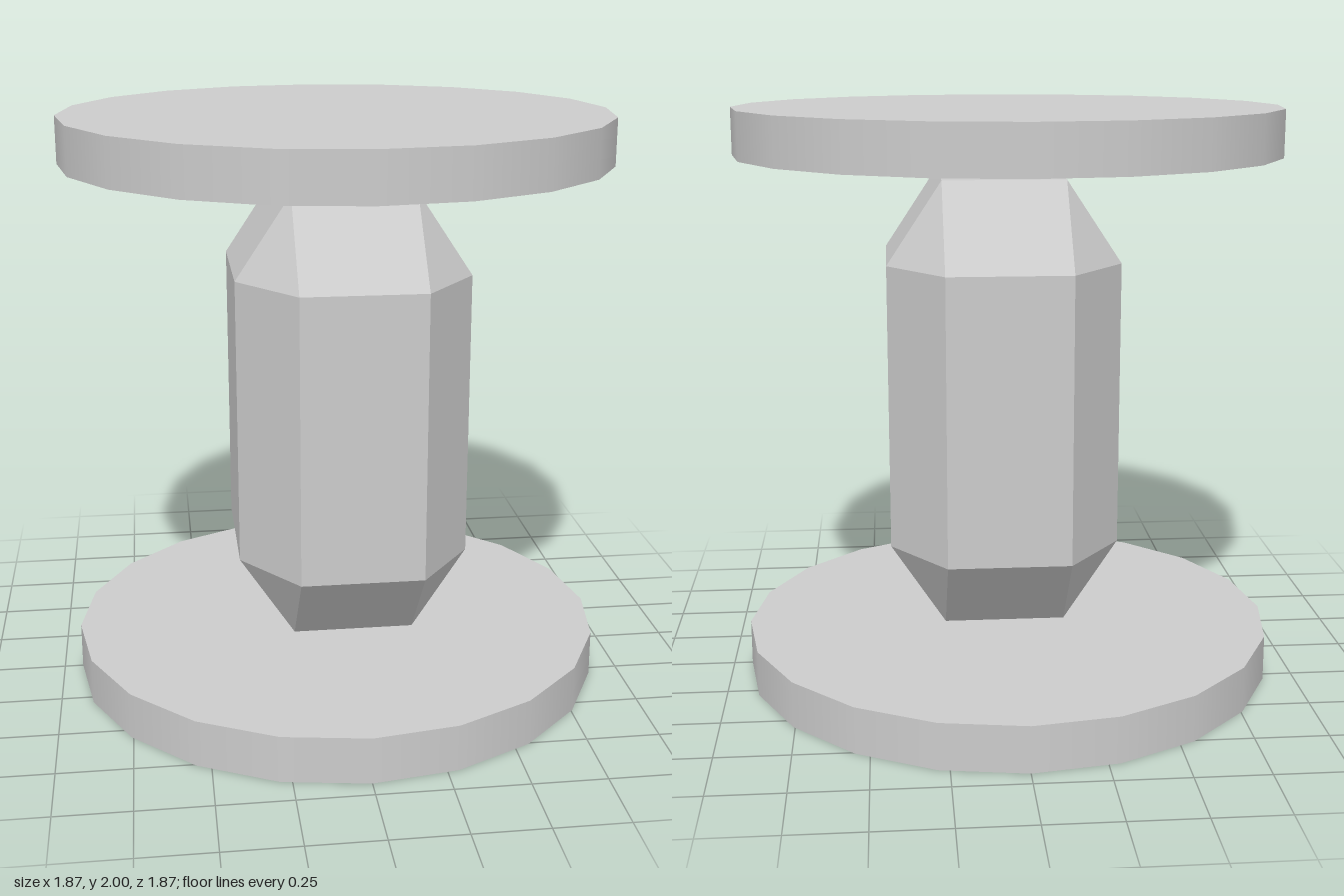
import * as THREE from 'three';
import { ConvexGeometry } from 'three/addons/geometries/ConvexGeometry.js';

const grey = new THREE.MeshStandardMaterial({ color: 0xcccccc });
const greyFlat = new THREE.MeshStandardMaterial({ color: 0xcccccc, flatShading: true });

// Box with every edge chamfered: each face is an inner rectangle pushed out to the full size
function chamferedBox(inner, outer) {
  const points = [];
  for (const sx of [-1, 1]) for (const sy of [-1, 1]) for (const sz of [-1, 1]) {
    const sign = new THREE.Vector3(sx, sy, sz);
    for (const axis of ['x', 'y', 'z']) {
      const p = inner.clone();
      p[axis] = outer[axis];
      points.push(p.multiply(sign));
    }
  }
  return new ConvexGeometry(points);
}

export function createModel() {
  const model = new THREE.Group();
  model.name = 'spool';

  // Matching end discs, 20 sided with smooth rims
  const discGeometry = new THREE.CylinderGeometry(0.935, 0.935, 0.16, 20);
  for (const [name, y] of [['bottomDisc', 0.08], ['topDisc', 1.92]]) {
    const disc = new THREE.Mesh(discGeometry, grey);
    disc.name = name;
    disc.position.y = y;
    model.add(disc);
  }

  // Faceted core floating between the discs, slightly off centre
  const core = new THREE.Mesh(
    chamferedBox(new THREE.Vector3(0.208, 0.49, 0.248), new THREE.Vector3(0.395, 0.772, 0.497)),
    greyFlat
  );
  core.name = 'core';
  core.position.set(0.027, 0.997, 0.033);
  model.add(core);

  return model;
}
